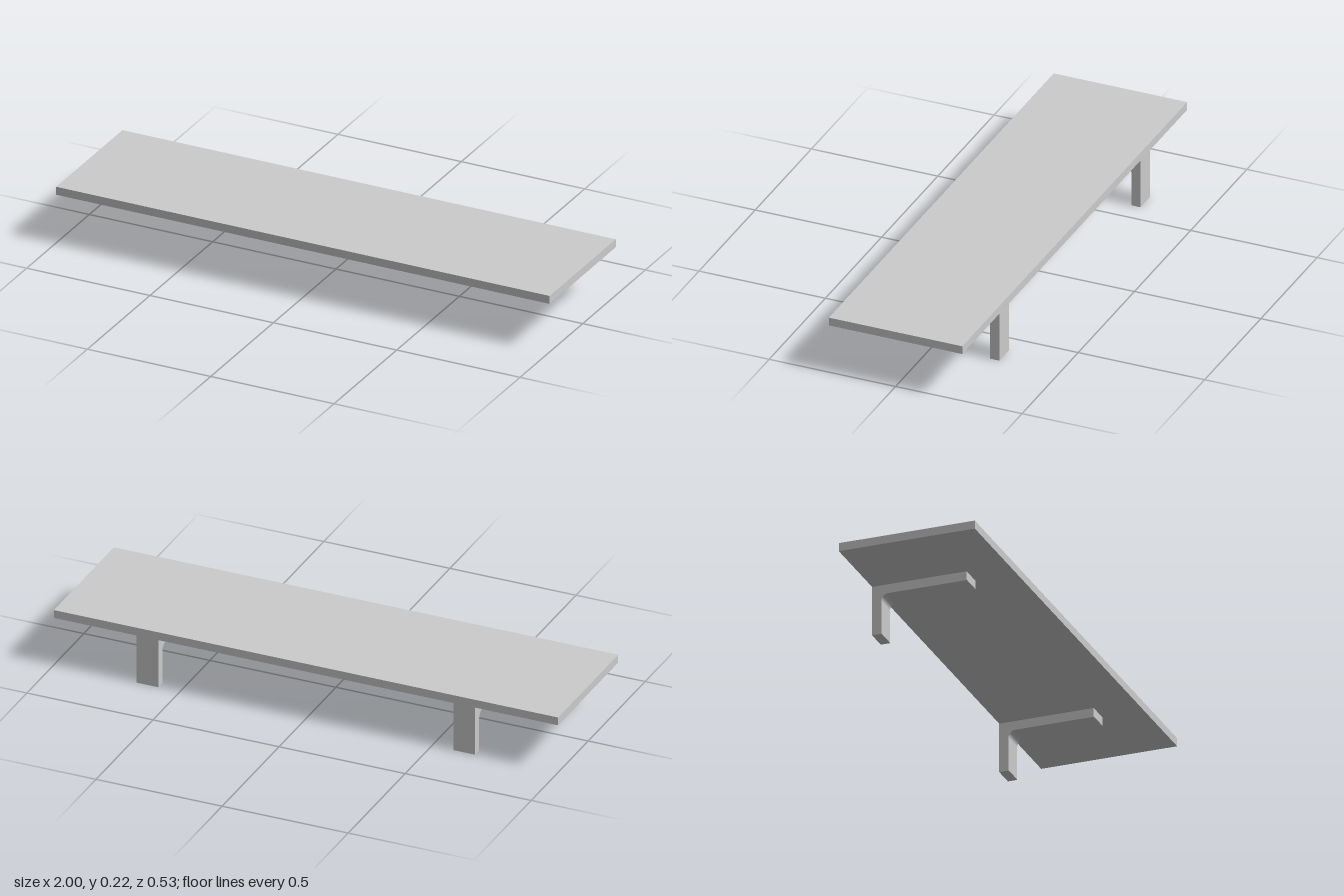
import * as THREE from 'three';

const material = new THREE.MeshStandardMaterial({ color: 0xcccccc });

const BACK = -0.264, FRONT = 0.264;
const BOARD_BOTTOM = 0.193, BOARD_TOP = 0.225;
const BRACKET_WIDTH = 0.086, BRACKET_X = 0.628;

// L-shaped side profile (shape x = model z) with a rounded inner corner
function bracketGeometry() {
  const legFront = -0.228, armFront = 0.103, armBottom = 0.158, r = 0.027, c = 0.002;
  const s = new THREE.Shape();
  s.moveTo(BACK, 0);
  s.lineTo(legFront - c, 0);
  s.lineTo(legFront, c);
  s.lineTo(legFront, armBottom - r);
  s.absarc(legFront + r, armBottom - r, r, Math.PI, Math.PI / 2, true);
  s.lineTo(armFront - c, armBottom);
  s.lineTo(armFront, armBottom + c);
  s.lineTo(armFront, BOARD_BOTTOM);
  s.lineTo(BACK, BOARD_BOTTOM);
  s.closePath();
  const g = new THREE.ExtrudeGeometry(s, { depth: BRACKET_WIDTH, bevelEnabled: false, curveSegments: 10 });
  g.translate(0, 0, -BRACKET_WIDTH / 2);
  g.rotateY(-Math.PI / 2);
  return g;
}

export function createModel() {
  const model = new THREE.Group();
  model.name = 'wallShelf';

  // Flat shelf board
  const board = new THREE.Mesh(
    new THREE.BoxGeometry(2, BOARD_TOP - BOARD_BOTTOM, FRONT - BACK), material);
  board.name = 'shelfBoard';
  board.position.y = (BOARD_TOP + BOARD_BOTTOM) / 2;
  model.add(board);

  // Pair of supporting brackets, flush with the back edge
  const geometry = bracketGeometry();
  for (const [name, side] of [['leftBracket', 1], ['rightBracket', -1]]) {
    const bracket = new THREE.Mesh(geometry, material);
    bracket.name = name;
    bracket.position.x = side * BRACKET_X;
    model.add(bracket);
  }
  return model;
}
